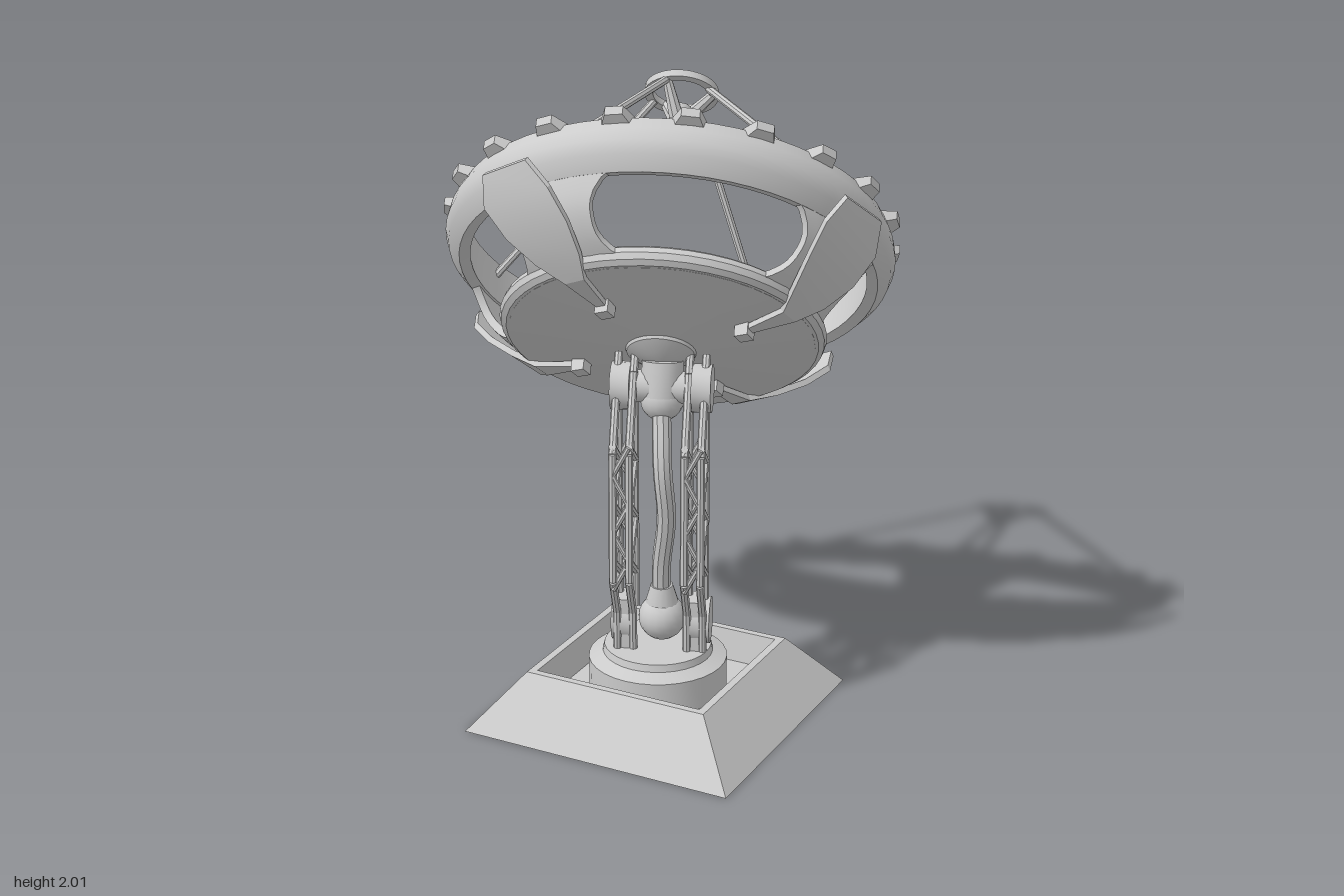
import * as THREE from 'three';
import { toCreasedNormals } from 'three/addons/utils/BufferGeometryUtils.js';

const V = (x, y, z) => new THREE.Vector3(x, y, z);
const grey = new THREE.MeshStandardMaterial({ color: 0xcbcbcb });
grey.name = 'paleGrey';

function add(parent, name, geo, crease = 0.6) {
  const mesh = new THREE.Mesh(toCreasedNormals(geo, crease), grey);
  mesh.name = name;
  parent.add(mesh);
  return mesh;
}

function sub(parent, name) {
  const g = new THREE.Group();
  g.name = name;
  parent.add(g);
  return g;
}

// Round bar between two points, optionally tapered
function rod(parent, name, a, b, r, rEnd = r, sides = 8) {
  const d = b.clone().sub(a);
  const m = add(parent, name, new THREE.CylinderGeometry(rEnd, r, d.length(), sides));
  m.position.copy(a).addScaledVector(d, 0.5);
  m.quaternion.setFromUnitVectors(V(0, 1, 0), d.normalize());
}

function path(parent, name, pts, r) {
  for (let i = 0; i + 1 < pts.length; i++) rod(parent, name, pts[i], pts[i + 1], r);
}

const lathe = (pts, seg) => new THREE.LatheGeometry(pts.map(p => new THREE.Vector2(...p)), seg);

// Closed solid through equal loops of points, turned so its faces look outward
function loft(rings) {
  const n = rings[0].length, last = (rings.length - 1) * n, idx = [];
  for (let i = 0; i + 1 < rings.length; i++) {
    for (let j = 0; j < n; j++) {
      const a = i * n + j, b = i * n + (j + 1) % n;
      idx.push(a, b, b + n, a, b + n, a + n);
    }
  }
  // end caps as strips between the two halves of the loop
  for (let j = 0; j < n / 2 - 1; j++) {
    const a = j, b = j + 1, c = n - 2 - j, d = n - 1 - j;
    idx.push(a, c, b, a, d, c, last + a, last + b, last + c, last + a, last + c, last + d);
  }
  const p = rings.flat();
  let vol = 0;
  for (let i = 0; i < idx.length; i += 3) {
    vol += p[idx[i]].dot(p[idx[i + 1]].clone().cross(p[idx[i + 2]]));
  }
  if (vol < 0) idx.reverse();
  const g = new THREE.BufferGeometry().setFromPoints(p);
  g.setIndex(idx);
  return g;
}

function buildBase(root) {
  const base = sub(root, 'base');
  base.position.set(0.09, 0, 0.22);
  // hollow four-sided plinth
  const q = Math.SQRT2;
  const plinth = lathe([[0, 0], [0.457 * q, 0], [0.31 * q, 0.18], [0.285 * q, 0.18],
    [0.265 * q, 0.08], [0, 0.08]], 4).rotateY(Math.PI / 4).scale(1, 1, 0.955);
  add(base, 'plinth', plinth, 0.2);
  add(base, 'turntable', lathe([[0, 0.07], [0.22, 0.07], [0.22, 0.185], [0.175, 0.205],
    [0.17, 0.228], [0, 0.228]], 32));
}

// Mast turned in line with the dish: x along the tilt axle
function buildMast(root) {
  const mast = sub(root, 'mast');
  mast.position.set(0.1, 0, 0.21);
  mast.rotation.y = 0.37;
  const rear = [[-0.02, 1.19], [0.02, 1.14], [0.15, 0.92], [0.16, 0.5], [0.07, 0.36], [0.06, 0.225]];
  const front = [[0, 1.09], [0, 0.35]];
  for (const s of [-1, 1]) {
    const arm = sub(mast, 'latticeArm');
    arm.position.x = s * 0.11;
    // pivot drums at both ends
    for (const y of [0.31, 1.09]) {
      const drum = add(arm, 'pivotDrum', new THREE.CylinderGeometry(0.075, 0.075, 0.06, 20));
      drum.rotation.z = Math.PI / 2;
      drum.position.set(s * 0.015, y, 0);
    }
    const foot = add(arm, 'foot', new THREE.BoxGeometry(0.05, 0.17, 0.09));
    foot.position.set(0, 0.31, 0.02);
    for (const x of [-0.025, 0.025]) {
      for (const c of [front, rear]) {
        path(arm, 'chord', c.map(([z, y]) => V(x, y, z)), 0.013);
      }
      for (let i = 0; i < 5; i++) {
        const y0 = 0.47 + i * 0.095, f = i % 2;
        rod(arm, 'brace', V(x, y0, f ? 0.15 : 0), V(x, y0 + 0.095, f ? 0 : 0.15), 0.012);
      }
    }
    for (let i = 0; i < 5; i++) {
      const y0 = 0.47 + i * 0.095, f = i % 2 ? 0.025 : -0.025;
      for (const z of [0, 0.155]) rod(arm, 'crossBrace', V(f, y0, z), V(-f, y0 + 0.095, z), 0.009);
    }
  }
  // central cable pipe with ball joints
  const curve = new THREE.CatmullRomCurve3([V(0, 0.33, 0), V(0, 0.5, 0.02),
    V(0.02, 0.68, 0.06), V(0.01, 0.85, 0.08), V(0, 1.04, 0.02)]);
  add(mast, 'cablePipe', new THREE.TubeGeometry(curve, 20, 0.03, 10));
  for (const [y, r] of [[0.315, 0.075], [1.05, 0.068]]) {
    add(mast, 'ballJoint', new THREE.SphereGeometry(r, 18, 12)).position.y = y;
  }
  rod(mast, 'ballNeck', V(0, 0.34, 0), V(0, 0.43, 0.01), 0.06, 0.035, 16);
  // tilting head under the dish
  rod(mast, 'tiltAxle', V(-0.12, 1.09, 0), V(0.12, 1.09, 0), 0.05, 0.05, 18);
  rod(mast, 'tiltHead', V(0, 1.06, 0), V(0, 1.17, -0.02), 0.066, 0.066, 16);
}

// One window pillar: a curved, flared slab between floor ring and rim
function pillar() {
  const curve = new THREE.SplineCurve([[0.475, 0], [0.56, 0.055], [0.624, 0.13], [0.66, 0.24]]
    .map(p => new THREE.Vector2(...p)));
  const rings = [];
  for (let i = 0; i <= 12; i++) {
    const s = i / 12, p = curve.getPoint(s), tan = curve.getTangent(s);
    const half = 0.235 + 0.22 * Math.pow(Math.abs(2 * s - 1), 3);
    const loop = [];
    for (const side of [1, -1]) {
      for (let j = 0; j <= 8; j++) {
        const a = side * half * (j / 4 - 1);
        const k = side > 0 ? 0 : 0.026;
        const r = p.x - tan.y * k;
        loop.push(V(r * Math.cos(a), p.y + tan.x * k, r * Math.sin(a)));
      }
    }
    rings.push(loop);
  }
  return loft(rings);
}

// Thin skewed fin behind each pillar: radius, height, sideways offset, half width
function fin() {
  const rows = [[0.3, -0.055, 0.025, 0.012], [0.46, -0.035, 0.04, 0.035], [0.54, 0.005, 0.06, 0.08],
    [0.63, 0.065, 0.09, 0.115], [0.71, 0.14, 0.125, 0.125], [0.755, 0.22, 0.145, 0.085]];
  return loft(rows.map(([r, t, off, w]) => {
    const at = (rad, h, s) => V(rad * Math.cos(s / r), h, rad * Math.sin(s / r));
    return [at(r, t, off - w), at(r, t, off + w),
      at(r - 0.012, t + 0.016, off + w), at(r - 0.012, t + 0.016, off - w)];
  }));
}

function buildDish(root) {
  const dish = sub(root, 'dish');
  // tilt frame: y along the dish axis, x toward one pillar
  const n = V(-0.252, 0.705, -0.664).normalize();
  const z = V(-0.154, 0.647, 0.747).cross(n).normalize();
  const x = n.clone().cross(z);
  dish.quaternion.setFromRotationMatrix(new THREE.Matrix4().makeBasis(x, n, z));
  dish.position.set(0.07, 1.235, 0.15);

  add(dish, 'floor', lathe([[0, -0.06], [0.12, -0.055], [0.47, -0.015], [0.47, 0], [0, 0]], 40));
  add(dish, 'hubDome', lathe([[0, -0.1], [0.06, -0.09], [0.105, -0.065], [0.115, -0.04], [0, -0.04]], 28));
  add(dish, 'centrePlate', lathe([[0, -0.01], [0.118, -0.01], [0.118, 0.018], [0, 0.018]], 28));
  add(dish, 'floorRing', new THREE.TorusGeometry(0.47, 0.034, 10, 48).rotateX(Math.PI / 2))
    .position.y = 0.018;
  add(dish, 'rim', lathe([[0.65, 0.2], [0.687, 0.24], [0.701, 0.28], [0.696, 0.32],
    [0.676, 0.365], [0.648, 0.365], [0.638, 0.29], [0.616, 0.21], [0.65, 0.2]], 64));

  // teeth along the upper edge of the rim
  const tooth = (r, t, w, h) => [V(r, t - h, -w), V(r, t - h, w), V(r, t + h, w), V(r, t + h, -w)];
  for (let i = 0; i < 20; i++) {
    add(dish, 'rimTooth', loft([tooth(0.662, 0.352, 0.052, 0.02), tooth(0.715, 0.368, 0.027, 0.014)]))
      .rotation.y = (i * 18 - 3) * Math.PI / 180;
  }

  // feed ring with a small horn on spokes
  const feed = sub(dish, 'feed');
  feed.position.set(-0.03, 0.892, 0.03);
  add(feed, 'feedRing', lathe([[0.092, -0.012], [0.12, -0.012], [0.12, 0.012],
    [0.092, 0.012], [0.092, -0.012]], 32));
  for (let i = 0; i < 3; i++) {
    const a = i * Math.PI * 2 / 3;
    rod(feed, 'hornSpoke', V(0.1 * Math.cos(a), 0, 0.1 * Math.sin(a)),
      V(0.02 * Math.cos(a), -0.1, 0.02 * Math.sin(a)), 0.015, 0.024);
  }
  rod(feed, 'horn', V(0, -0.06, 0), V(0, -0.155, 0), 0.038, 0.024, 12);

  // four pillars, each with a rib, a fin, a bracket and a feed strut
  for (let i = 0; i < 4; i++) {
    const quarter = sub(dish, 'quarter');
    quarter.rotation.y = i * Math.PI / 2;
    add(quarter, 'pillar', pillar()).rotation.y = -0.1;
    add(quarter, 'fin', fin(), 0.3);
    add(quarter, 'finBracket', new THREE.BoxGeometry(0.045, 0.045, 0.045)).position.set(0.3, -0.05, 0.025);
    rod(quarter, 'rib', V(0.53, 0.07, 0.06), V(0.6, 0.16, 0.065), 0.012);
    const hold = feed.position.clone().applyAxisAngle(V(0, 1, 0), -i * Math.PI / 2);
    rod(quarter, 'feedStrut', V(0.65, 0.32, 0), hold.add(V(0.1, -0.008, 0)), 0.013);
  }
}

export function createModel() {
  const root = new THREE.Group();
  root.name = 'dishAntenna';
  buildBase(root);
  buildMast(root);
  buildDish(root);
  return root;
}
